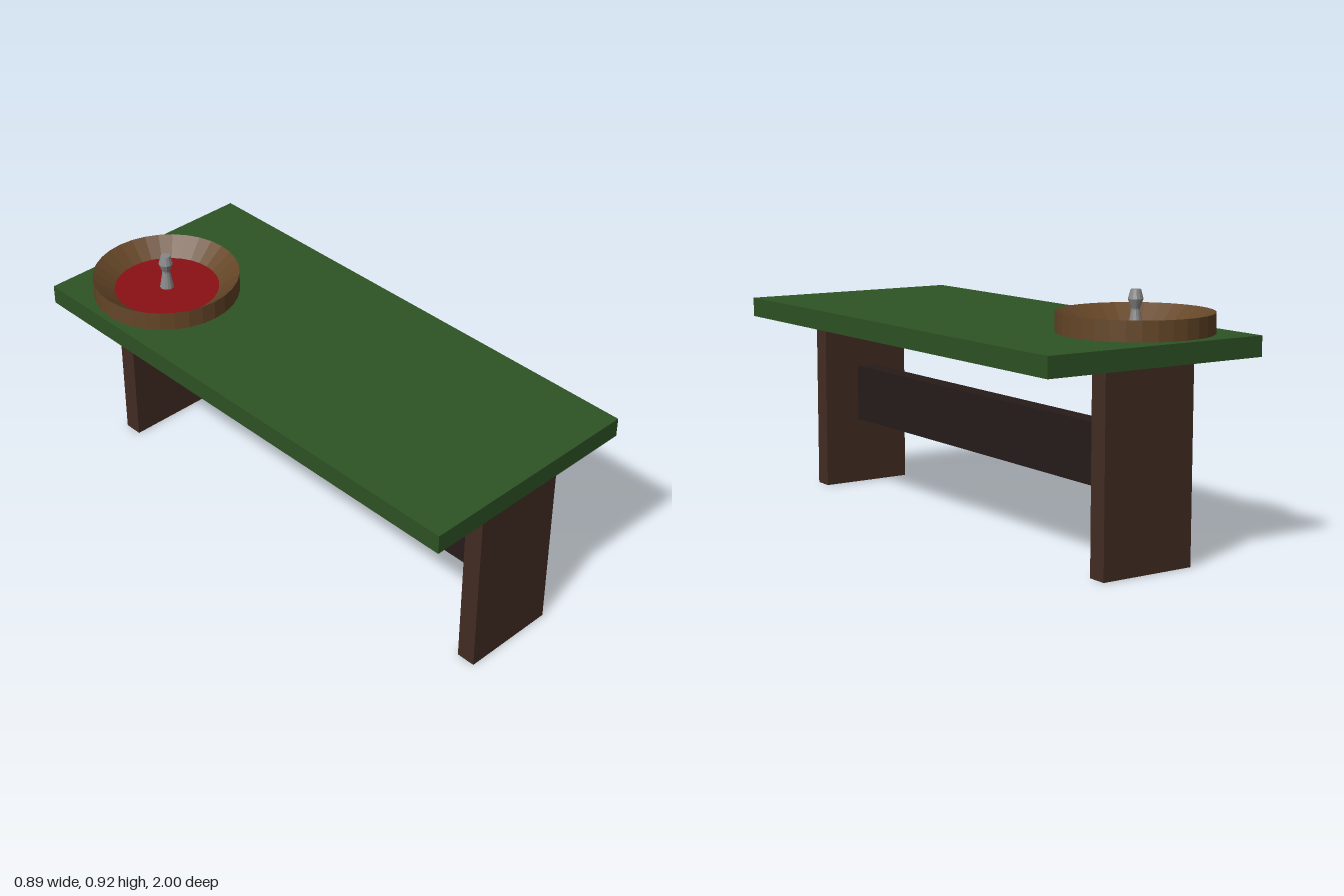
import * as THREE from 'three';

const paint = (color) => new THREE.MeshStandardMaterial({ color, flatShading: true });
const felt = paint(0x2d5324);
const legWood = paint(0x422c23);
const beamWood = paint(0x261c1a);
const wheelWood = paint(0x654627);
const red = paint(0x8b1016);
const metal = paint(0x888888);

function add(parent, name, geometry, material, x = 0, y = 0, z = 0) {
  const mesh = new THREE.Mesh(geometry, material);
  mesh.name = name;
  mesh.position.set(x, y, z);
  parent.add(mesh);
  return mesh;
}

function lathe(profile, sides) {
  return new THREE.LatheGeometry(profile.map(([r, y]) => new THREE.Vector2(r, y)), sides);
}

export function createModel() {
  const model = new THREE.Group();
  model.name = 'gamingTable';

  // Table top, two slab legs and the beam between them
  add(model, 'tableTop', new THREE.BoxGeometry(0.89, 0.073, 2), felt, 0, 0.7365, 0);
  for (const [name, side] of [['frontLeg', 1], ['backLeg', -1]]) {
    add(model, name, new THREE.BoxGeometry(0.368, 0.7, 0.073), legWood, 0, 0.35, side * 0.921);
  }
  add(model, 'beam', new THREE.BoxGeometry(0.074, 0.22, 1.769), beamWood, 0, 0.37, 0);

  // Wheel standing on the back right corner of the top
  const wheel = new THREE.Group();
  wheel.name = 'wheel';
  wheel.position.set(-0.147, 0.773, -0.69);
  model.add(wheel);

  // Bowl: upright outer wall, knife-edge rim, sloping inner wall
  add(wheel, 'bowl', lathe([[0, 0], [0.275, 0], [0.275, 0.072], [0.197, 0.013]], 32), wheelWood);
  add(wheel, 'wheelFloor', new THREE.CylinderGeometry(0.197, 0.197, 0.012, 32), red, 0, 0.007, 0);

  // Spindle: tapered stem and a double-cone knob
  add(wheel, 'spindle', lathe([
    [0.027, 0.012], [0.015, 0.076], [0.015, 0.082], [0.027, 0.114], [0.018, 0.147], [0, 0.147],
  ], 12), metal);

  return model;
}
